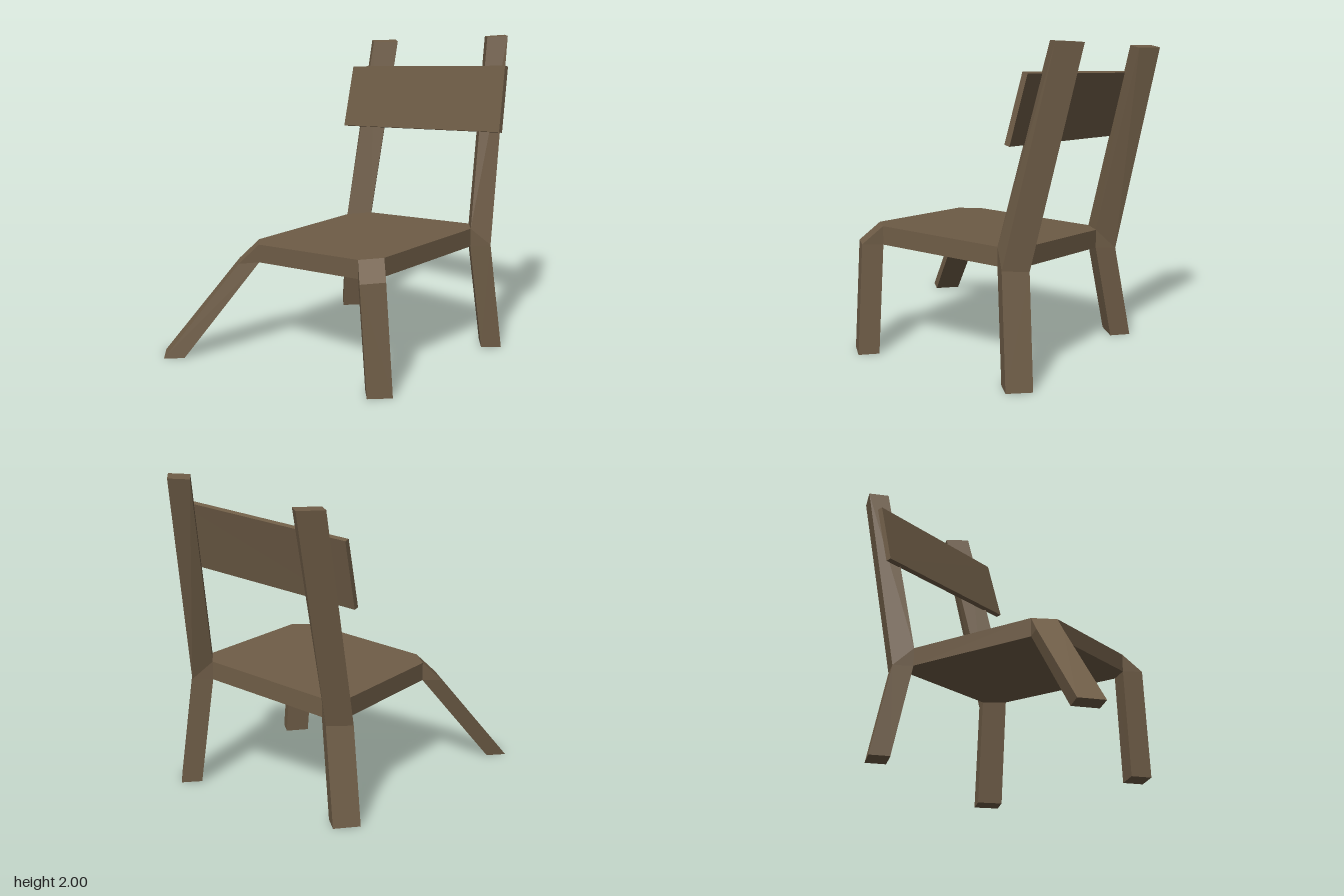
import * as THREE from 'three';

const wood = new THREE.MeshStandardMaterial({ color: 0x6f5d47 });
wood.name = 'brown wood';

// Flat-shaded solid skinned over a list of equal-length cross-sections, capped at both ends
function loft(name, sections) {
  const n = sections[0].length;
  const tris = [];
  for (let s = 0; s < sections.length - 1; s++) {
    const a = sections[s], b = sections[s + 1];
    for (let i = 0; i < n; i++) {
      const j = (i + 1) % n;
      tris.push([a[i], a[j], b[j]], [a[i], b[j], b[i]]);
    }
  }
  const first = sections[0], last = sections[sections.length - 1];
  for (let i = 1; i < n - 1; i++) {
    tris.push([first[0], first[i + 1], first[i]], [last[0], last[i], last[i + 1]]);
  }
  // Turn the faces outward whichever way the sections run
  const v = (p) => new THREE.Vector3(...p);
  let volume = 0;
  for (const [a, b, c] of tris) volume += v(a).dot(v(b).cross(v(c)));
  if (volume < 0) tris.forEach((t) => t.reverse());
  const geo = new THREE.BufferGeometry();
  geo.setAttribute('position', new THREE.Float32BufferAttribute(tris.flat(2), 3));
  geo.computeVertexNormals();
  const mesh = new THREE.Mesh(geo, wood);
  mesh.name = name;
  return mesh;
}

// The seat leans down towards -x
const topY = (x) => 0.75 + 0.09 * x;
const bottomY = (x) => topY(x) - 0.117;
const SIDE = { 1: [0.635, 0.53], '-1': [-0.425, -0.31] }; // outer x, corner-cut x
const END = { 1: [0.355, 0.467], '-1': [-0.49, -0.61] }; // corner-cut z, outer z

// Corner footprint: two points on the seat's cut corner, two pushed out diagonally
function corner(sx, sz) {
  const [xo, xi] = SIDE[sx], [zi, zo] = END[sz];
  const dx = 0.093 * sx, dz = 0.091 * sz;
  return [[xo, zi], [xo + dx, zi + dz], [xi + dx, zo + dz], [xi, zo]];
}

// Leg from the floor to a mitred elbow, with an optional back post above it
function leg(name, sx, sz, footShift, post) {
  const c = corner(sx, sz);
  const foot = c.map(([x, z]) => [x + footShift[0], 0, z + footShift[1]]);
  const elbow = c.map(([x, z]) => [x, bottomY(x), z]);
  const upper = c.map(([x, z], i) => [x, i === 0 || i === 3 ? topY(x) : bottomY(x), z]);
  const sections = [foot, elbow, upper];
  if (post) sections.push(c.map(([x, z]) => [x + post.dx, post.y(x + post.dx), z - 0.27]));
  return loft(name, sections);
}

export function createModel() {
  const chair = new THREE.Group();
  chair.name = 'chair';

  // Seat slab with cut corners
  const outline = [[1, 1], [1, -1], [-1, -1], [-1, 1]].flatMap(([sx, sz]) => {
    const c = corner(sx, sz);
    return sx * sz > 0 ? [c[3], c[0]] : [c[0], c[3]];
  });
  chair.add(loft('seat', [
    outline.map(([x, z]) => [x, bottomY(x), z]),
    outline.map(([x, z]) => [x, topY(x), z]),
  ]));

  // Four uneven legs, the rear pair carrying on up as posts
  chair.add(
    leg('frontLeftLeg', 1, 1, [0.06, 0]),
    leg('frontRightLeg', -1, 1, [-0.28, 0.405]),
    leg('backLeftLegAndPost', 1, -1, [0.06, -0.068], { dx: -0.108, y: (x) => 1.943 + 0.09 * x }),
    leg('backRightLegAndPost', -1, -1, [-0.098, -0.068], { dx: 0, y: () => 1.89 }),
  );

  // Crooked backrest board across the posts
  const front = [[-0.56, 1.31, -0.605], [0.745, 1.428, -0.608], [0.71, 1.832, -0.7], [-0.56, 1.715, -0.7]];
  chair.add(loft('backrest', [
    front,
    front.map(([x, y, z]) => [x, y - 0.008, z - 0.033]),
  ]));
  return chair;
}
